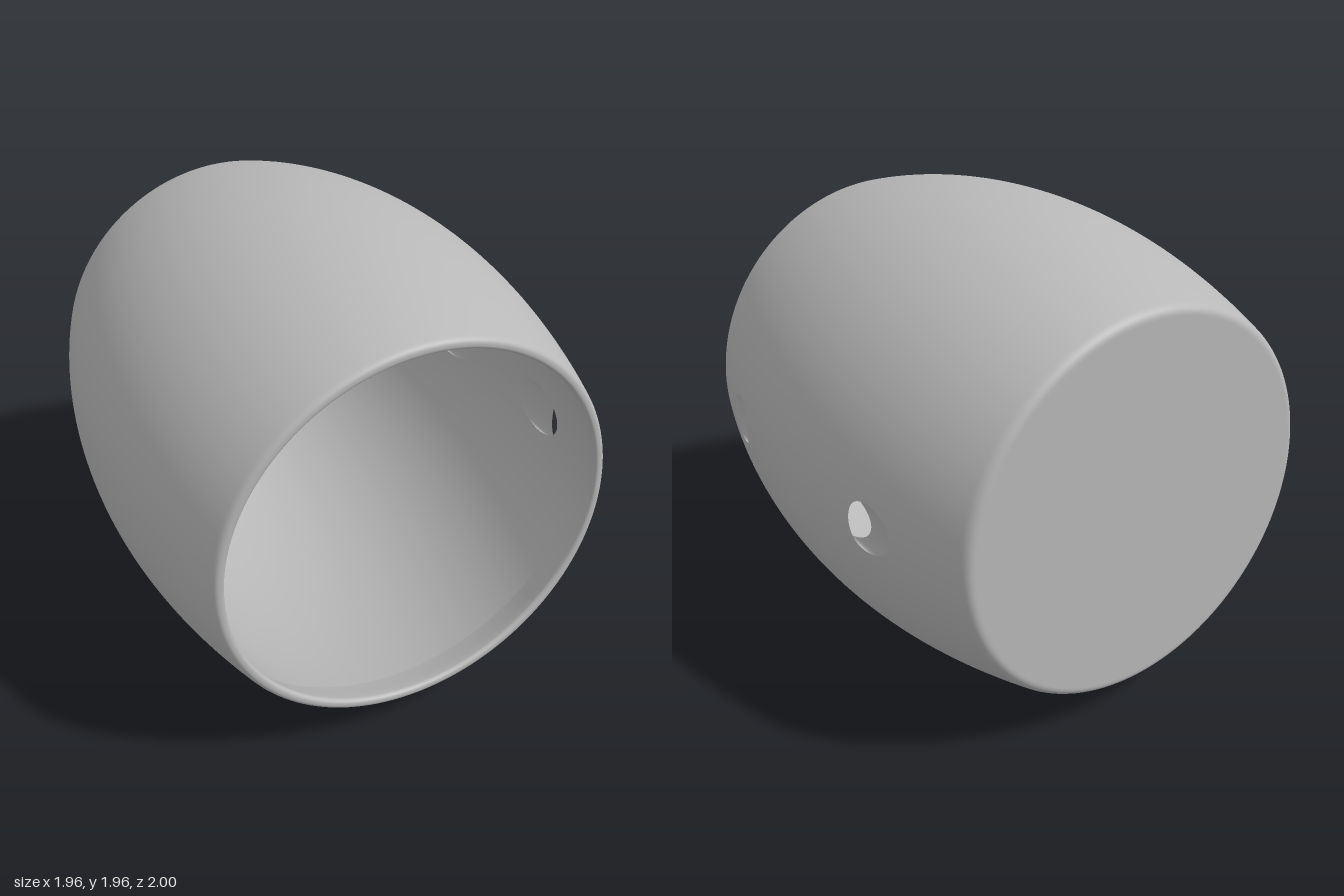
import * as THREE from 'three';

const R = 0.98, MID = 0.035, K = 0.168, WALL = 0.028;   // bulging shell
const ZB = -0.78, ZF = 0.85, HALF = 0.16;               // pierced side strip
const N = 64;

const material = new THREE.MeshStandardMaterial({ color: 0xb8b8b8, side: THREE.DoubleSide });
material.name = 'plain grey';

const outer = (z) => R - K * (z - MID) ** 2;
const inner = (z) => outer(z) - WALL;
const profile = (f, a, b, n) => Array.from({ length: n + 1 }, (_, i) => {
  const z = a + (b - a) * i / n;
  return new THREE.Vector2(f(z), z);
});

// Revolve a profile of (radius, z) around the z axis
function revolve(points, name, start = 0, length = Math.PI * 2) {
  const g = new THREE.LatheGeometry(points, 160, start, length);
  g.rotateX(Math.PI / 2);
  const m = new THREE.Mesh(g, material);
  m.name = name;
  return m;
}

// Rounded corner between two points
const corner = (a, c, b) => new THREE.QuadraticBezierCurve(
  new THREE.Vector2(...a), new THREE.Vector2(...c), new THREE.Vector2(...b)).getPoints(8);

// Slot outline where a flat oval running along z meets the shell; dir is +1 front, -1 back
function slotPoint(t, dir, radius) {
  const x = 0.924 - dir * 0.022 * Math.cos(t), y = 0.105 * Math.sin(t);
  return { phi: Math.atan2(y, x), z: MID + dir * Math.sqrt(Math.max(0, (radius - Math.hypot(x, y)) / K)) };
}

function toMesh(pos, idx, name, normals) {
  const g = new THREE.BufferGeometry();
  g.setAttribute('position', new THREE.Float32BufferAttribute(pos, 3));
  g.setIndex(idx);
  if (normals) g.setAttribute('normal', new THREE.Float32BufferAttribute(normals, 3));
  else g.computeVertexNormals();
  const m = new THREE.Mesh(g, material);
  m.name = name;
  return m;
}

// Curved panel spreading from the slot outline to a rectangle of the strip
function slotPanel(dir, isInner) {
  const z0 = dir > 0 ? MID : ZB, z1 = dir > 0 ? ZF : MID;
  const f = isInner ? inner : outer, side = isInner ? -1 : 1, rings = 10;
  const pos = [], nor = [], idx = [];
  for (let j = 0; j <= rings; j++) for (let i = 0; i <= N; i++) {
    const t = i / N * Math.PI * 2, c = Math.cos(t), s = Math.sin(t), q = Math.max(Math.abs(c), Math.abs(s));
    const h = slotPoint(t, dir, isInner ? R - WALL : R), k = j / rings;
    const z = THREE.MathUtils.lerp(h.z, (z0 + z1) / 2 + (z1 - z0) / 2 * c / q, k);
    const phi = THREE.MathUtils.lerp(h.phi, HALF * s / q, k);
    pos.push(f(z) * Math.cos(phi), f(z) * Math.sin(phi), z);
    const n = new THREE.Vector3(Math.cos(phi), Math.sin(phi), 2 * K * (z - MID)).normalize().multiplyScalar(side);
    nor.push(n.x, n.y, n.z);
    if (j < rings && i < N) {
      const a = j * (N + 1) + i, b = a + 1, d = a + N + 1, e = d + 1;
      if (isInner) idx.push(a, d, b, b, d, e);
      else idx.push(a, b, d, b, e, d);
    }
  }
  return toMesh(pos, idx, isInner ? 'innerSlotPanel' : 'outerSlotPanel', nor);
}

// Wall of a slot, joining the outer and inner outlines
function slotWall(dir) {
  const pos = [], idx = [];
  for (let i = 0; i <= N; i++) {
    for (const [radius, f] of [[R, outer], [R - WALL, inner]]) {
      const { phi, z } = slotPoint(i / N * Math.PI * 2, dir, radius);
      pos.push(f(z) * Math.cos(phi), f(z) * Math.sin(phi), z);
    }
    if (i < N) {
      const a = i * 2;
      idx.push(a, a + 1, a + 2, a + 2, a + 1, a + 3);
    }
  }
  return toMesh(pos, idx, 'slotWall');
}

export function createModel() {
  const group = new THREE.Group();
  group.name = 'barrelCup';
  const start = Math.PI / 2 + HALF, length = Math.PI * 2 - 2 * HALF;

  // Shell, leaving out the strip on the +x side
  group.add(revolve(profile(outer, ZB, ZF, 48), 'outerShell', start, length));
  group.add(revolve(profile(inner, ZF, ZB, 48), 'innerShell', start, length));

  // Rounded front rim
  const o = outer(1);
  group.add(revolve([
    ...profile(outer, ZF, 0.96, 5),
    ...corner([outer(0.975), 0.975], [o, 1], [o - 0.018, 1]),
    ...corner([o - 0.022, 1], [0.785, 1], [0.785, 0.98]),
    new THREE.Vector2(0.798, 0.945), new THREE.Vector2(0.82, 0.9),
    new THREE.Vector2(inner(ZF), ZF),
  ], 'frontRim'));

  // Closed back with rounded edge
  const b = outer(-1);
  group.add(revolve([
    new THREE.Vector2(0, -1), new THREE.Vector2(b - 0.035, -1),
    ...corner([b - 0.03, -1], [b - 0.003, -1], [outer(-0.97), -0.97]),
    ...profile(outer, -0.96, ZB, 8),
  ], 'backEnd'));

  // Inside floor with a fillet
  const w = inner(-0.96);
  group.add(revolve([
    ...profile(inner, ZB, -0.92, 8),
    ...corner([inner(-0.925), -0.925], [w, -0.96], [w - 0.035, -0.96]),
    new THREE.Vector2(w - 0.04, -0.96), new THREE.Vector2(0, -0.96),
  ], 'insideFloor'));

  // Two slots through the +x side
  for (const dir of [1, -1]) {
    group.add(slotPanel(dir, false), slotPanel(dir, true), slotWall(dir));
  }

  group.position.y = R;
  const root = new THREE.Group();
  root.add(group);
  return root;
}
